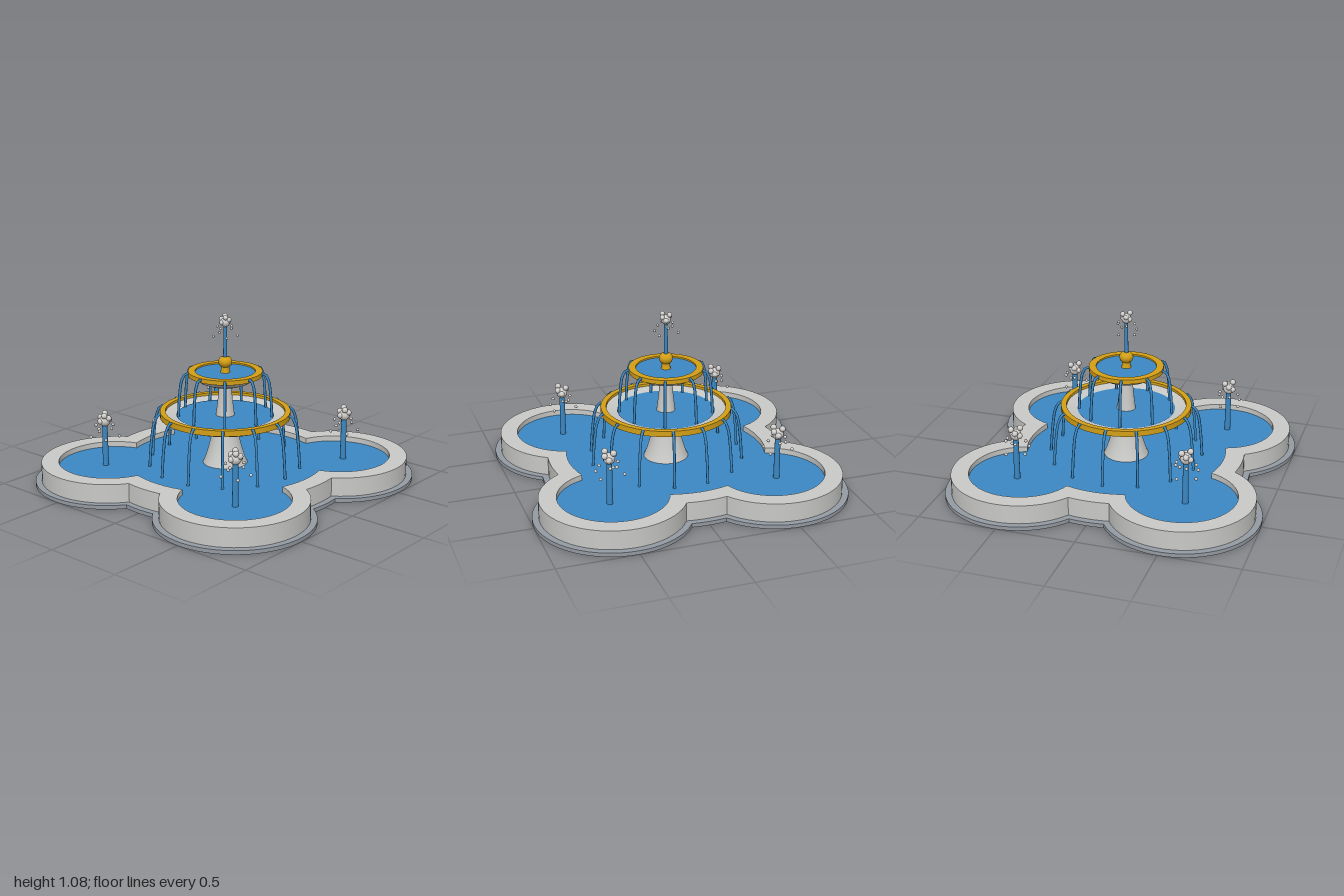
import * as THREE from 'three';
import { toCreasedNormals } from 'three/addons/utils/BufferGeometryUtils.js';

const mat = (name, color, side = THREE.FrontSide) => {
  const m = new THREE.MeshStandardMaterial({ color, side });
  m.name = name;
  return m;
};

export function createModel() {
  const root = new THREE.Group();
  root.name = 'tieredFountain';
  const stone = mat('pale stone', 0xc9c9c7, THREE.DoubleSide);
  const plinthStone = mat('grey plinth stone', 0x959ba3, THREE.DoubleSide);
  const gold = mat('gold', 0xd4a017);
  const water = mat('water blue', 0x3b88c3);
  const foam = mat('foam', 0xd2d0cd);

  const add = (name, geo, material, parent = root) => {
    const m = new THREE.Mesh(geo, material);
    m.name = name;
    parent.add(m);
    return m;
  };
  const group = (name) => {
    const g = new THREE.Group();
    g.name = name;
    root.add(g);
    return g;
  };

  // Four-lobed outline: a central circle (radius R) joined with four lobes (radius r)
  const LOBE = 0.51;
  const outline = (R, r) => {
    const D = LOBE * Math.SQRT2, pts = [];
    const a = Math.acos((R * R + D * D - r * r) / (2 * R * D));
    const b = Math.atan2(R * Math.sin(a), R * Math.cos(a) - D);
    for (let k = 0; k < 4; k++) {
      const mid = Math.PI / 4 + k * Math.PI / 2;
      for (let i = 0; i < 36; i++) {
        const t = -b + (2 * b * i) / 36;
        pts.push([D * Math.cos(mid) + r * Math.cos(mid + t), D * Math.sin(mid) + r * Math.sin(mid + t)]);
      }
      for (let i = 0; i < 6; i++) {
        const t = mid + a + ((Math.PI / 2 - 2 * a) * i) / 6;
        pts.push([R * Math.cos(t), R * Math.sin(t)]);
      }
    }
    return pts;
  };

  // Skin a stack of outlines, each given as [R, r, y]
  const skin = (sections) => {
    const pos = [], idx = [];
    let n = 0;
    sections.forEach(([R, r, y], s) => {
      const pts = outline(R, r);
      n = pts.length;
      pts.forEach(([x, z], i) => {
        pos.push(x, y, z);
        if (s === 0) return;
        const j = (i + 1) % n, lo = (s - 1) * n, hi = s * n;
        idx.push(lo + i, hi + i, hi + j, lo + i, hi + j, lo + j);
      });
    });
    const g = new THREE.BufferGeometry();
    g.setAttribute('position', new THREE.Float32BufferAttribute(pos, 3));
    g.setIndex(idx);
    return toCreasedNormals(g, 0.45);
  };

  // Pool basin
  add('plinth', skin([[0.8, 0.49, 0], [0.8, 0.49, 0.025], [0.76, 0.45, 0.025]]), plinthStone);
  add('poolWall', skin([[0.76, 0.45, 0.02], [0.76, 0.45, 0.145], [0.64, 0.34, 0.145], [0.64, 0.34, 0.02]]), stone);
  const poolShape = new THREE.Shape(outline(0.641, 0.341).map(([x, y]) => new THREE.Vector2(x, y)));
  const pool = add('poolWater', new THREE.ExtrudeGeometry(poolShape, { depth: 0.085, bevelEnabled: false }).rotateX(Math.PI / 2), water);
  pool.position.y = 0.11;

  const lathe = (name, pts, material, crease = 0.4) =>
    add(name, toCreasedNormals(new THREE.LatheGeometry(pts.map(([x, y]) => new THREE.Vector2(x, y)), 48), crease), material);
  const disc = (name, r, y) => {
    add(name, new THREE.CircleGeometry(r, 48).rotateX(-Math.PI / 2), water).position.y = y;
  };
  const rim = (name, inner, outer, y0, y1) =>
    lathe(name, [[inner, y0], [outer, y0], [outer, y1], [inner, y1], [inner, y0]], gold);

  // Pedestal and column
  lathe('pedestal', [[0, 0.015], [0.19, 0.015], [0.155, 0.08], [0.127, 0.145], [0.107, 0.21], [0.09, 0.28], [0.08, 0.34]], stone);
  lathe('column', [[0.062, 0.41], [0.055, 0.46], [0.045, 0.55], [0.04, 0.64]], stone);

  // Lower and upper bowls
  lathe('lowerBowl', [[0, 0.33], [0.13, 0.33], [0.25, 0.36], [0.35, 0.395], [0.4, 0.425], [0.4, 0.44], [0.38, 0.44], [0.34, 0.425], [0, 0.415]], stone);
  rim('lowerRim', 0.38, 0.415, 0.42, 0.457);
  disc('lowerBowlWater', 0.31, 0.428);
  lathe('upperBowl', [[0, 0.62], [0.08, 0.62], [0.16, 0.65], [0.22, 0.69], [0.22, 0.7], [0, 0.7]], stone);
  rim('upperRim', 0.19, 0.235, 0.69, 0.718);
  disc('upperBowlWater', 0.195, 0.708);

  // Finial
  lathe('finial', [[0.032, 0.705], [0.026, 0.725], [0.026, 0.745], [0.038, 0.755], [0.044, 0.775], [0.042, 0.79], [0.03, 0.805], [0, 0.81]], gold, 0.8);

  // Arcing streams spilling from each rim
  const streams = (name, count, start, profile) => {
    const g = group(name);
    const path = new THREE.CatmullRomCurve3(profile.map(([r, y]) => new THREE.Vector3(r, y, 0)));
    const geo = new THREE.TubeGeometry(path, 14, 0.009, 8);
    for (let i = 0; i < count; i++) add('stream', geo, water, g).rotation.y = start + (i * 2 * Math.PI) / count;
  };
  streams('lowerStreams', 14, Math.PI / 2, [[0.395, 0.445], [0.425, 0.45], [0.455, 0.4], [0.475, 0.28], [0.49, 0.09]]);
  streams('upperStreams', 9, Math.PI, [[0.22, 0.7], [0.25, 0.708], [0.275, 0.67], [0.29, 0.58], [0.3, 0.43]]);

  // Upright jet with a foam crown and falling droplets
  const ball = new THREE.SphereGeometry(1, 12, 8);
  const jet = (name, x, z, y0, y1, radius, s) => {
    const g = group(name);
    g.position.set(x, 0, z);
    add('jetColumn', new THREE.CylinderGeometry(radius * 0.85, radius, y1 - y0, 12), water, g).position.y = (y0 + y1) / 2;
    const drop = (r, px, py, pz) => {
      const m = add('foamDrop', ball, foam, g);
      m.scale.setScalar(r * s);
      m.position.set(px * s, y1 + py * s, pz * s);
    };
    drop(0.036, 0, 0.025, 0);
    for (let i = 0; i < 6; i++) {
      const t = i * Math.PI / 3 + 0.3;
      drop(0.019, 0.03 * Math.cos(t), 0.025 + 0.02 * (i % 3), 0.03 * Math.sin(t));
    }
    for (let i = 0; i < 9; i++) {
      const t = i * 2 * Math.PI / 9 + 0.2, far = i % 2;
      const r = far ? 0.09 : 0.062;
      drop(0.01, r * Math.cos(t), far ? -0.075 : -0.012, r * Math.sin(t));
    }
  };
  jet('topJet', 0, 0, 0.8, 1.01, 0.013, 0.85);
  for (const x of [-0.54, 0.54]) for (const z of [-0.54, 0.54]) jet('lobeJet', x, z, 0.1, 0.38, 0.02, 1);

  return root;
}
